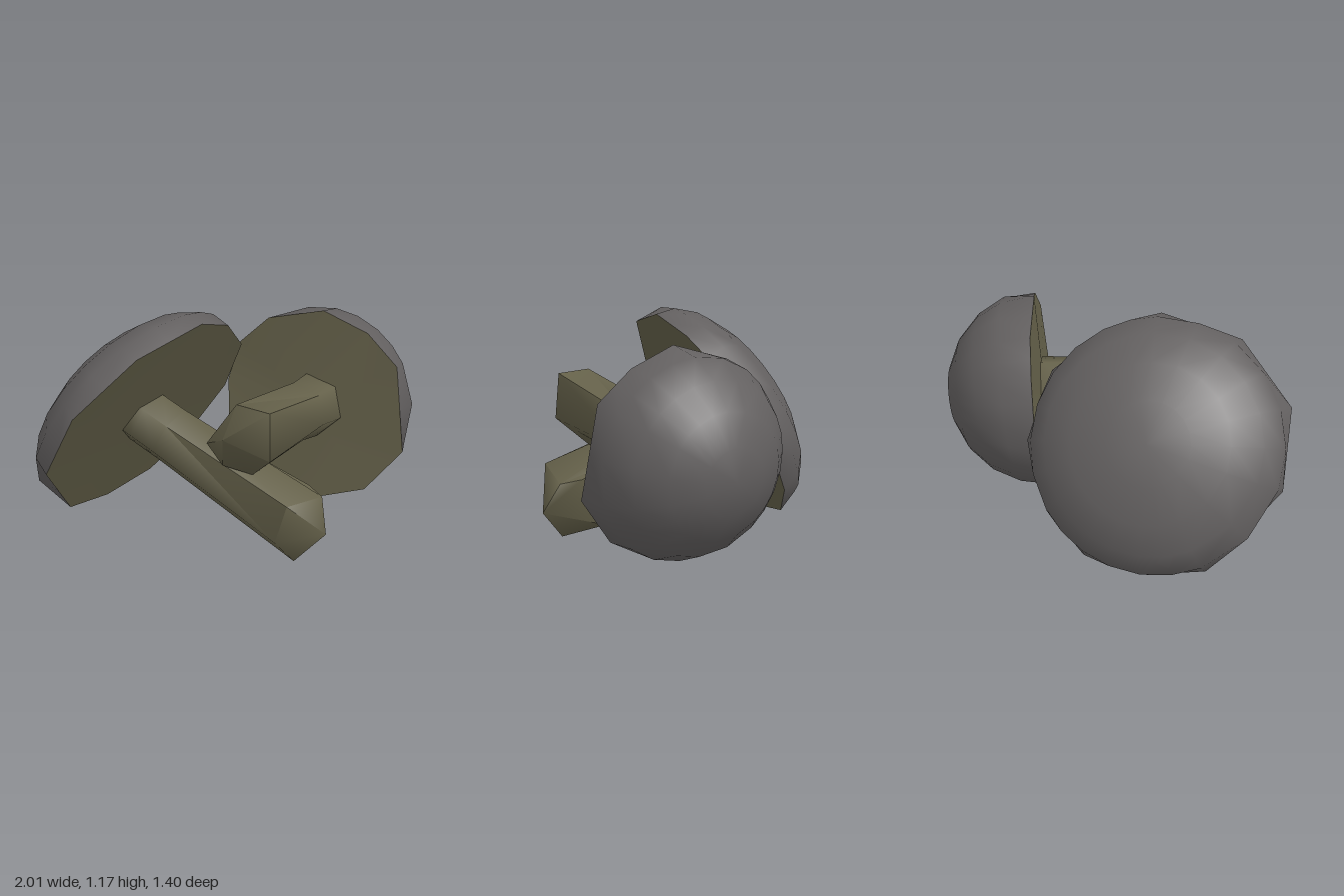
import * as THREE from 'three';
import { toCreasedNormals } from 'three/addons/utils/BufferGeometryUtils.js';

const V = (p) => new THREE.Vector3(...p);

// Skins a stack of rings (counter-clockwise around the direction of travel) and closes it at a tip
function loft(rings, tip, crease) {
  const points = [];
  const n = rings[0].length;
  for (let j = 0; j < n; j++) {
    const k = (j + 1) % n;
    for (let i = 0; i < rings.length - 1; i++) {
      const a = rings[i];
      const b = rings[i + 1];
      points.push(a[j], a[k], b[k], a[j], b[k], b[j]);
    }
    const last = rings[rings.length - 1];
    points.push(last[j], last[k], tip);
  }
  const geometry = new THREE.BufferGeometry().setFromPoints(points);
  geometry.computeVertexNormals();
  return toCreasedNormals(geometry, crease);
}

// Dome that rises from an uneven rim, rounds out and closes at its apex
function domeGeometry(center, rim, up, radius, depth) {
  const edge = rim.flatMap((p, j) => [p, p.clone().lerp(rim[(j + 1) % rim.length], 0.5)]);
  const rings = [edge];
  const steps = 5;
  for (let i = 1; i < steps; i++) {
    const a = (i / steps) * Math.PI / 2;
    rings.push(edge.map((p) => {
      const radial = p.clone().sub(center);
      radial.addScaledVector(up, -radial.dot(up)).setLength(radius * Math.cos(a));
      return radial.add(center).addScaledVector(up, depth * Math.sin(a));
    }));
  }
  return loft(rings, center.clone().addScaledVector(up, depth), 1.0);
}

// Stem that flares at the cap, narrows at the neck and widens to a blunt pointed foot
function stemGeometry(center, axis, flare, foot, tip) {
  const start = foot[0].clone().sub(center);
  start.addScaledVector(axis, -start.dot(axis)).normalize();
  const ring = (distance, radius) => foot.map((_, j) => start.clone()
    .applyAxisAngle(axis, (j / foot.length) * Math.PI * 2)
    .multiplyScalar(radius)
    .add(center)
    .addScaledVector(axis, distance));
  return loft([ring(-0.08, flare), ring(0.02, flare), ring(0.17, 0.155), foot], tip, 1.15);
}

const MUSHROOMS = [
  { // wide, flatter mushroom leaning back
    name: 'wideMushroom', center: [-0.375, 0.575, -0.225], under: [0.238, -0.521, 0.82],
    radius: 0.66, depth: 0.36,
    rim: [
      [-1, 0.45, -0.13], [-0.74, 0.07, -0.42], [-0.46, 0.02, -0.53], [-0.15, 0.07, -0.59],
      [0.08, 0.24, -0.56], [0.26, 0.54, -0.44], [0.23, 0.85, -0.235], [0.02, 1.05, -0.05],
      [-0.22, 1.14, 0.08], [-0.63, 1.06, 0.15], [-0.94, 0.8, 0.07],
    ],
    stemAxis: [0.4, -0.39, 0.82], flare: 0.155,
    foot: [
      [-0.02, 0, 0.6], [0.14, 0.1, 0.38], [0.14, 0.34, 0.5],
      [0.14, 0.32, 0.61], [-0.13, 0.37, 0.68], [-0.14, 0.14, 0.6],
    ],
    tip: [0.1, 0.16, 0.7],
  },
  { // rounder mushroom lying on its side
    name: 'roundMushroom', center: [0.48, 0.55, 0.075], under: [-0.878, 0.116, 0.465],
    radius: 0.53, depth: 0.52,
    rim: [
      [0.53, 1.07, 0.08], [0.38, 0.98, -0.2], [0.29, 0.82, -0.34], [0.25, 0.6, -0.39],
      [0.2, 0.36, -0.31], [0.26, 0.14, -0.2], [0.43, 0.03, 0.14], [0.6, 0.14, 0.39],
      [0.73, 0.38, 0.53], [0.73, 0.83, 0.45], [0.66, 0.98, 0.29],
    ],
    stemAxis: [-0.89, 0.12, 0.44], flare: 0.17,
    foot: [
      [-0.17, 0.46, 0.45], [-0.19, 0.6, 0.62], [-0.18, 0.84, 0.6],
      [-0.26, 0.85, 0.44], [-0.32, 0.6, 0.27], [-0.28, 0.5, 0.35],
    ],
    tip: [-0.36, 0.7, 0.47],
  },
];

export function createModel() {
  const model = new THREE.Group();
  model.name = 'mushrooms';
  const capGrey = new THREE.MeshStandardMaterial({ color: 0x636060 });
  capGrey.name = 'cap grey';
  const stemOlive = new THREE.MeshStandardMaterial({ color: 0x65614a });
  stemOlive.name = 'stem olive';

  for (const m of MUSHROOMS) {
    const group = new THREE.Group();
    group.name = m.name;
    const center = V(m.center);
    const rim = m.rim.map(V);
    const up = V(m.under).normalize().negate();
    const axis = V(m.stemAxis).normalize();
    const add = (name, geometry, material) => {
      const mesh = new THREE.Mesh(geometry, material);
      mesh.name = name;
      group.add(mesh);
    };

    add('capDome', domeGeometry(center, [...rim].reverse(), up, m.radius, m.depth), capGrey);
    add('capUnderside', loft([rim], center, 1.0), stemOlive);
    add('stem', stemGeometry(center, axis, m.flare, m.foot.map(V), V(m.tip)), stemOlive);
    model.add(group);
  }
  return model;
}
